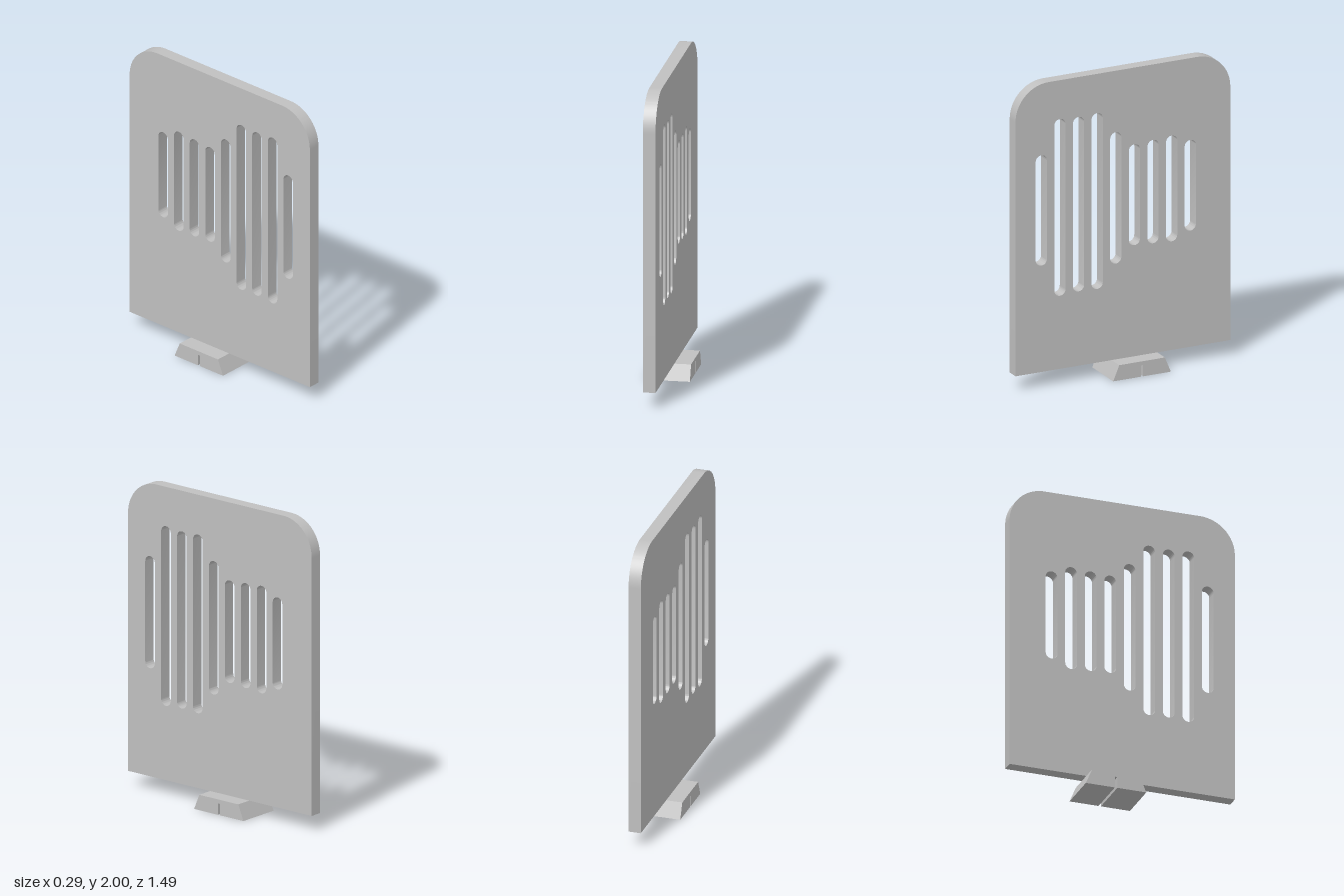
import * as THREE from 'three';
import { toCreasedNormals } from 'three/addons/utils/BufferGeometryUtils.js';

const grey = new THREE.MeshStandardMaterial({ color: 0xc0c0c0 });
grey.name = 'grey';

// Extrudes a (z, y) outline along x, centred on x = 0
function slab(name, shape, thickness) {
  const geometry = new THREE.ExtrudeGeometry(shape, { depth: thickness, bevelEnabled: false, curveSegments: 16 });
  geometry.translate(0, 0, -thickness / 2);
  geometry.rotateY(-Math.PI / 2);
  const mesh = new THREE.Mesh(toCreasedNormals(geometry, 0.5), grey);
  mesh.name = name;
  return mesh;
}

// Upright slot with round ends
function slot(z, y, half, r) {
  const path = new THREE.Path();
  path.moveTo(z + r, y - half + r);
  path.lineTo(z + r, y + half - r);
  path.absarc(z, y + half - r, r, 0, Math.PI, false);
  path.lineTo(z - r, y - half + r);
  path.absarc(z, y - half + r, r, Math.PI, 2 * Math.PI, false);
  return path;
}

export function createModel() {
  const group = new THREE.Group();
  group.name = 'slottedPanel';

  // Upright panel with rounded top corners
  const w = 0.745, bottom = 0.1, top = 2, r = 0.23;
  const outline = new THREE.Shape();
  outline.moveTo(-w, bottom);
  outline.lineTo(w, bottom);
  outline.lineTo(w, top - r);
  outline.absarc(w - r, top - r, r, 0, Math.PI / 2, false);
  outline.lineTo(-w + r, top);
  outline.absarc(-w + r, top - r, r, Math.PI / 2, Math.PI, false);
  outline.closePath();

  // Row of slots of varied height, front to back
  const halfHeights = [0.363, 0.582, 0.574, 0.579, 0.432, 0.332, 0.34, 0.348, 0.298];
  halfHeights.forEach((half, i) => outline.holes.push(slot(0.566 - i * 0.1292, 1.163, half, 0.039)));
  group.add(slab('panel', outline, 0.08));

  // Tapered foot with a narrow groove cut up from below
  const c = -0.08, g = 0.008;
  const foot = new THREE.Shape([
    [c - 0.2, 0], [c - g, 0], [c - g, 0.074], [c + g, 0.074], [c + g, 0],
    [c + 0.2, 0], [c + 0.158, 0.1], [c - 0.158, 0.1],
  ].map(([z, y]) => new THREE.Vector2(z, y)));
  group.add(slab('foot', foot, 0.29));

  return group;
}
